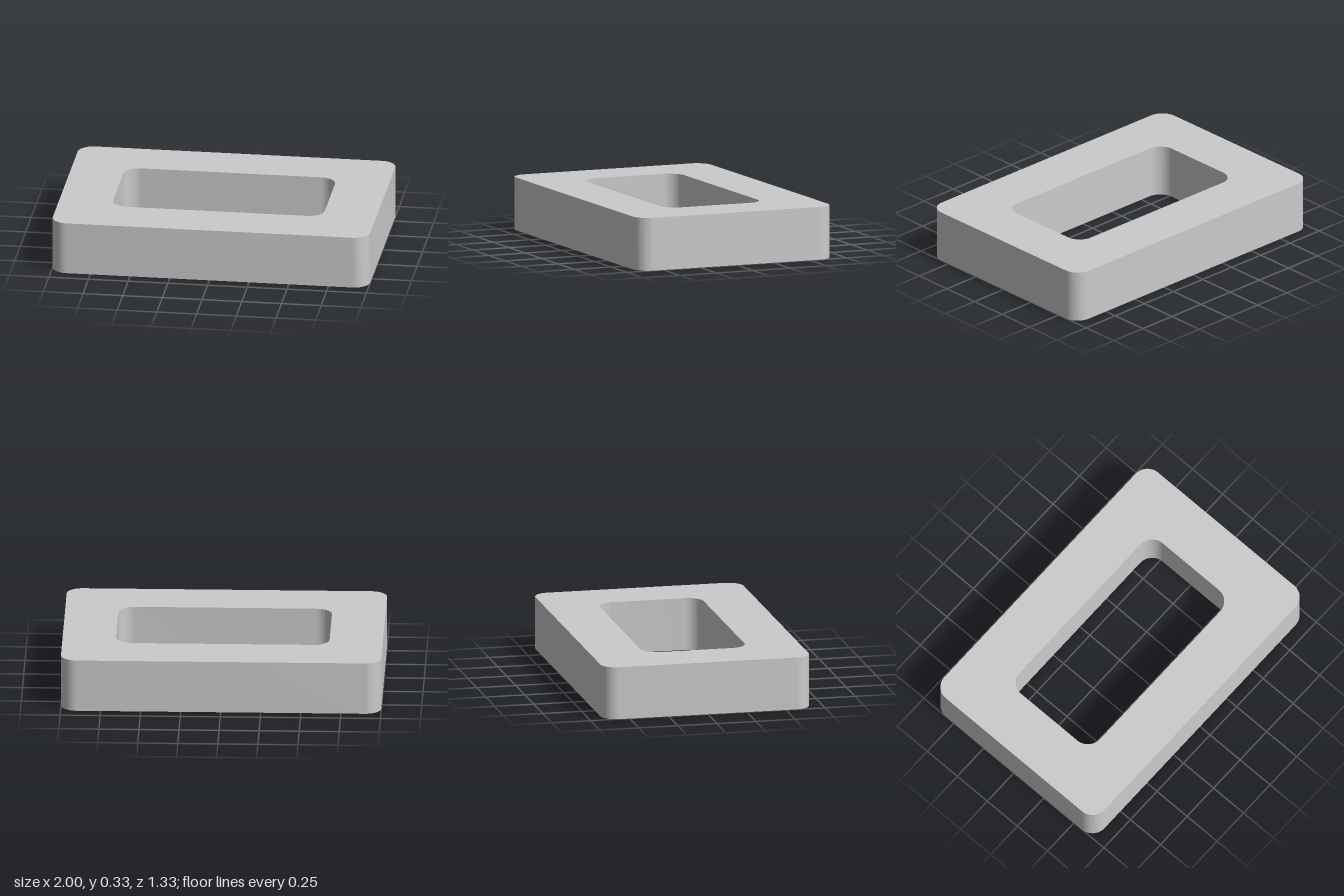
import * as THREE from 'three';
import { toCreasedNormals } from 'three/addons/utils/BufferGeometryUtils.js';

const LENGTH = 2, DEPTH = 4 / 3, HEIGHT = 1 / 3;
const RIM = 1 / 3; // width of the frame around the opening
const RADIUS = 0.1;

// Rounded rectangle centred on the origin, traced corner by corner
function roundedRect(path, width, height, r) {
  const x = width / 2 - r, y = height / 2 - r;
  const corners = [[x, y], [-x, y], [-x, -y], [x, -y]];
  corners.forEach(([cx, cy], i) => {
    path.absarc(cx, cy, r, i * Math.PI / 2, (i + 1) * Math.PI / 2, false);
  });
  return path;
}

export function createModel() {
  const group = new THREE.Group();
  group.name = 'rectangularFrame';

  // Outer outline with a through opening
  const outline = roundedRect(new THREE.Shape(), LENGTH, DEPTH, RADIUS);
  outline.holes.push(roundedRect(new THREE.Path(), LENGTH - 2 * RIM, DEPTH - 2 * RIM, RADIUS));

  // Extrude upwards, smooth round the corners and sharp at top and bottom
  const solid = new THREE.ExtrudeGeometry(outline, { depth: HEIGHT, bevelEnabled: false, curveSegments: 16 });
  solid.rotateX(-Math.PI / 2);
  const frame = new THREE.Mesh(
    toCreasedNormals(solid, Math.PI / 6),
    new THREE.MeshStandardMaterial({ color: 0xcccccc })
  );
  frame.name = 'frame';
  group.add(frame);

  return group;
}
